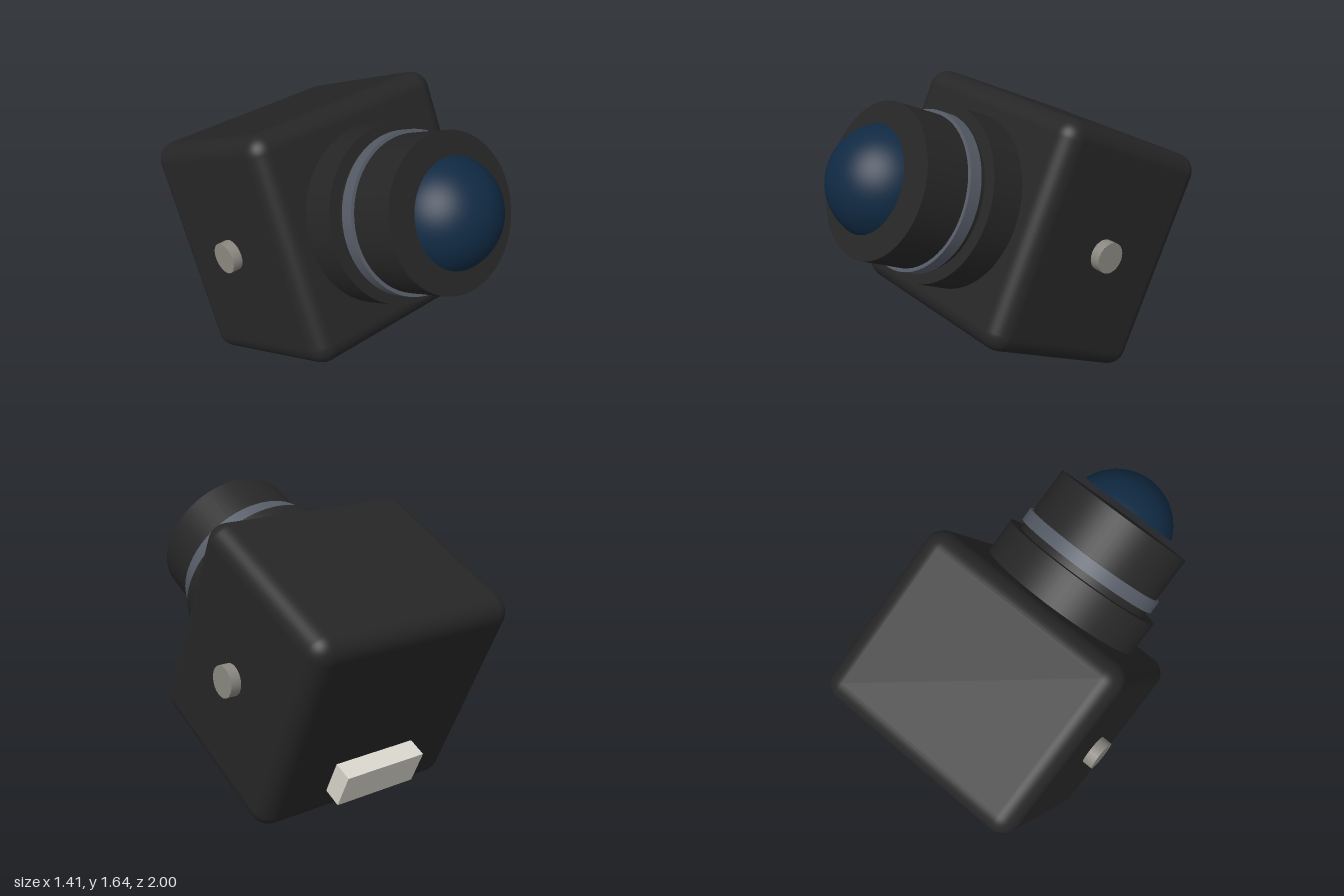
import * as THREE from 'three';
import { RoundedBoxGeometry } from 'three/addons/geometries/RoundedBoxGeometry.js';

const material = (name, color) => {
  const m = new THREE.MeshStandardMaterial({ color });
  m.name = name;
  return m;
};

export function createModel() {
  const casing = material('charcoal casing', 0x262626);
  const steel = material('blue grey ring', 0x555b66);
  const glass = material('dark blue glass', 0x102a43);
  const knob = material('warm grey knob', 0x8a8880);
  const ivory = material('pale ivory', 0xd8d5cb);

  const model = new THREE.Group();
  model.name = 'tiltedCamera';

  // Everything is built upright around the body centre, then tilted up
  const head = new THREE.Group();
  head.name = 'cameraHead';
  head.position.set(0, 0.783, -0.267);
  head.rotation.x = THREE.MathUtils.degToRad(-25);
  model.add(head);

  const add = (name, geometry, mat) => {
    const mesh = new THREE.Mesh(geometry, mat);
    mesh.name = name;
    head.add(mesh);
    return mesh;
  };

  // Cylinder along z between two depths
  const barrel = (name, radius, z0, z1, mat) => {
    const g = new THREE.CylinderGeometry(radius, radius, z1 - z0, 64);
    g.rotateX(Math.PI / 2);
    g.translate(0, 0, (z0 + z1) / 2);
    return add(name, g, mat);
  };

  // Body
  add('body', new RoundedBoxGeometry(1.29, 1.29, 1.085, 6, 0.105), casing);

  // Lens assembly
  barrel('lensCollar', 0.49, 0.5, 0.745, casing);
  barrel('lensBarrel', 0.42, 0.7, 1.128, casing);
  barrel('focusRing', 0.44, 0.786, 0.861, steel);

  // Domed front glass, a shallow cap floating just ahead of the barrel
  const dome = new THREE.SphereGeometry(0.313, 64, 24, 0, Math.PI * 2, 0, Math.PI * 0.38);
  dome.rotateX(Math.PI / 2);
  dome.translate(0, 0, 1.055);
  add('lensGlass', dome, glass);

  // Side pivots
  for (const side of [-1, 1]) {
    const g = new THREE.CylinderGeometry(0.088, 0.088, 0.1, 24);
    g.rotateZ(Math.PI / 2);
    g.translate(side * 0.655, 0, 0);
    add(side > 0 ? 'leftPivot' : 'rightPivot', g, knob);
  }

  // Block on the back
  add('rearBlock', new THREE.BoxGeometry(0.52, 0.206, 0.15), ivory).position.set(0, -0.334, -0.577);

  return model;
}
